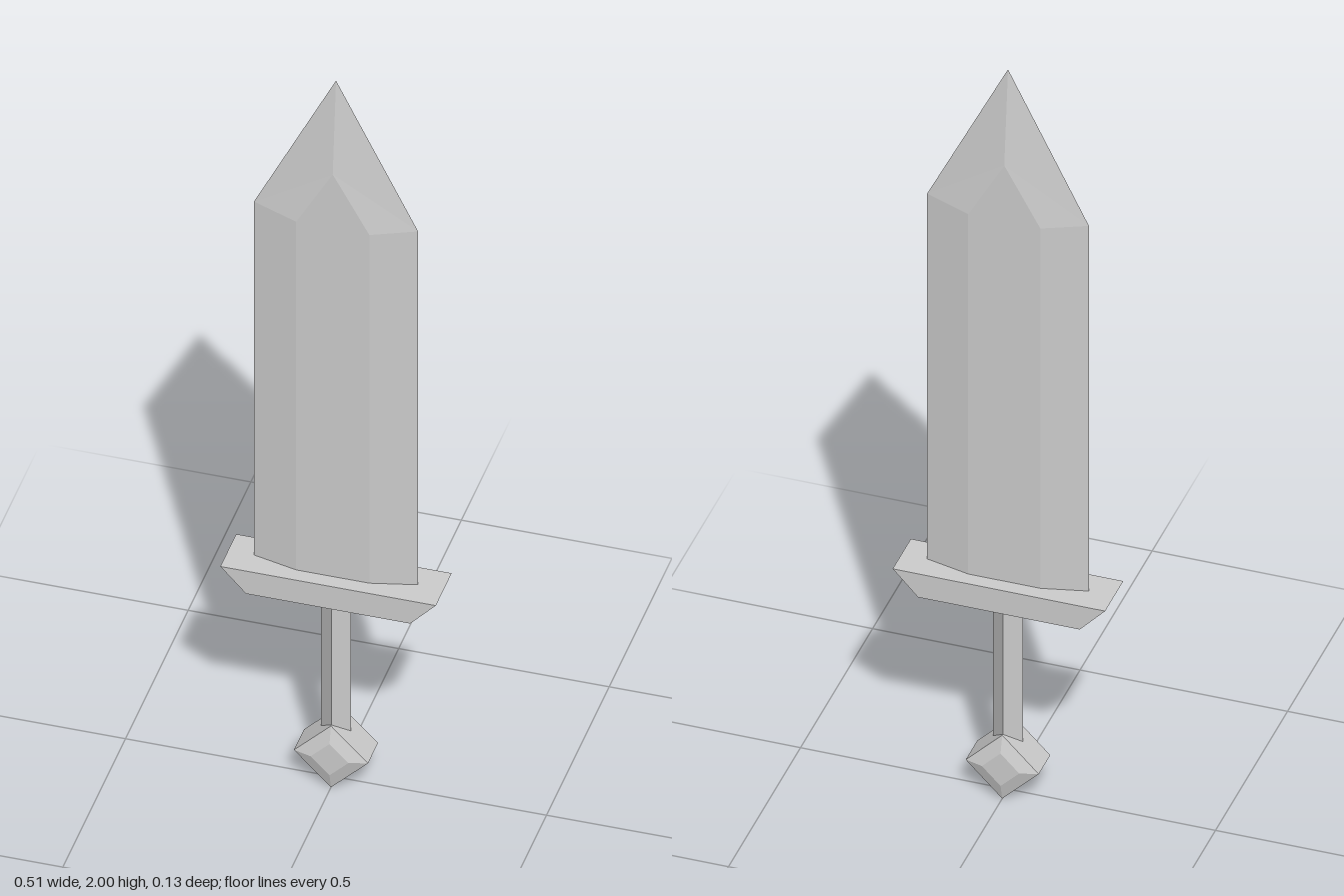
import * as THREE from 'three';

const material = new THREE.MeshStandardMaterial({ color: 0xcccccc, flatShading: true });

function addPart(group, name, geometry) {
  const mesh = new THREE.Mesh(geometry, material);
  mesh.name = name;
  group.add(mesh);
  return mesh;
}

// Blade: polygons of one quarter, mirrored across x and z
function bladeGeometry() {
  const base = 0.57, thick = 0.026;
  const edge0 = [0.195, base, 0], edge1 = [0.195, 1.61, 0];
  const flat0 = [0.087, base, thick], flat1 = [0.087, 1.595, thick];
  const mid0 = [0, base, thick], ridge = [0, 1.75, thick], tip = [0, 2, 0];
  const faces = [
    [flat0, edge0, edge1, flat1], // bevel to the cutting edge
    [mid0, flat0, flat1, ridge],  // flat of the blade
    [ridge, flat1, edge1, tip],   // point
    [[0, base, 0], edge0, flat0, mid0], // underside
  ];
  const positions = [];
  for (const sx of [1, -1]) {
    for (const sz of [1, -1]) {
      for (const [a, b, c, d] of faces) {
        const corners = sx * sz > 0 ? [a, b, c, a, c, d] : [a, c, b, a, d, c];
        for (const [x, y, z] of corners) positions.push(x * sx, y, z * sz);
      }
    }
  }
  const geometry = new THREE.BufferGeometry();
  geometry.setAttribute('position', new THREE.Float32BufferAttribute(positions, 3));
  geometry.computeVertexNormals();
  return geometry;
}

export function createModel() {
  const sword = new THREE.Group();
  sword.name = 'sword';

  addPart(sword, 'blade', bladeGeometry());

  // Crossguard: bar that flares towards the top
  const profile = new THREE.Shape([
    new THREE.Vector2(-0.195, 0.53),
    new THREE.Vector2(0.195, 0.53),
    new THREE.Vector2(0.256, 0.595),
    new THREE.Vector2(-0.256, 0.595),
  ]);
  const guard = new THREE.ExtrudeGeometry(profile, { depth: 0.126, bevelEnabled: false });
  guard.translate(0, 0, -0.063);
  addPart(sword, 'crossguard', guard);

  // Grip: square bar turned on its corner
  const grip = addPart(sword, 'grip', new THREE.CylinderGeometry(0.036, 0.036, 0.42, 4));
  grip.position.y = 0.33;

  // Pommel: diamond block with chamfered front and back
  const outline = [[0, -0.052], [0.045, -0.052], [0.088, -0.04], [0.088, 0.04], [0.045, 0.052], [0, 0.052]]
    .map(([r, h]) => new THREE.Vector2(r, h));
  const pommel = addPart(sword, 'pommel', new THREE.LatheGeometry(outline, 4));
  pommel.rotation.x = Math.PI / 2;
  pommel.position.y = 0.088;

  return sword;
}
